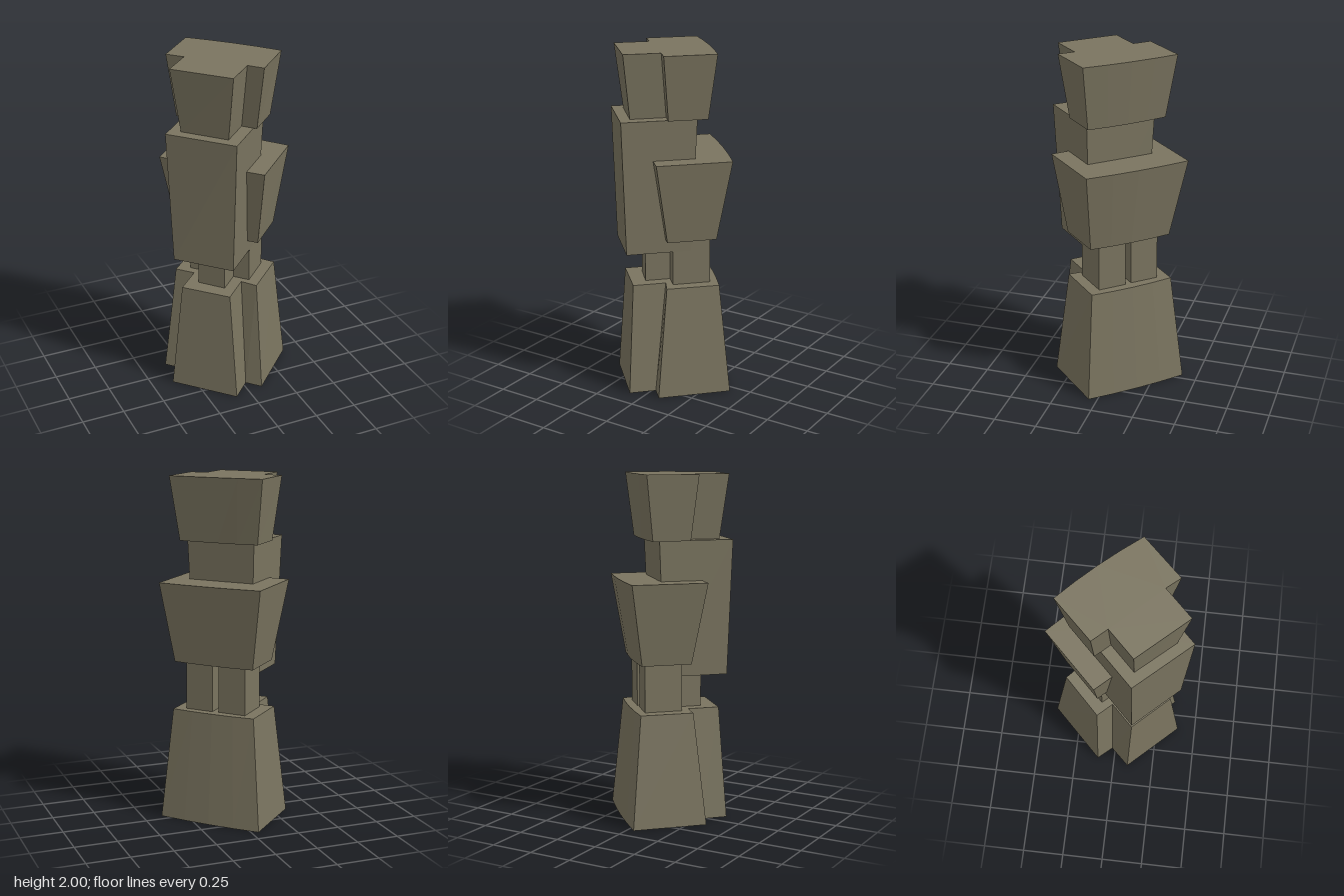
import * as THREE from 'three';

// Tapered block between two matching outlines of [x, z] points,
// listed front -> right -> back -> left.
function taperedBlock(name, material, y0, lower, y1, upper) {
  const positions = [];
  const n = lower.length;
  const low = (i) => [lower[i % n][0], y0, lower[i % n][1]];
  const high = (i) => [upper[i % n][0], y1, upper[i % n][1]];
  for (let i = 0; i < n; i++) {
    positions.push(...low(i), ...low(i + 1), ...high(i + 1));
    positions.push(...low(i), ...high(i + 1), ...high(i));
  }
  const flat = (pts) => pts.map(([x, z]) => new THREE.Vector2(x, -z));
  for (const [a, b, c] of THREE.ShapeUtils.triangulateShape(flat(upper), [])) {
    positions.push(...high(a), ...high(b), ...high(c));
  }
  for (const [a, b, c] of THREE.ShapeUtils.triangulateShape(flat(lower), [])) {
    positions.push(...low(a), ...low(c), ...low(b));
  }
  const geometry = new THREE.BufferGeometry();
  geometry.setAttribute('position', new THREE.Float32BufferAttribute(positions, 3));
  geometry.computeVertexNormals();
  const mesh = new THREE.Mesh(geometry, material);
  mesh.name = name;
  return mesh;
}

// Slightly bowed rear edge from the right corner to the back corner
function bowed(right, back, bulge = 0.013) {
  const dx = back[0] - right[0], dz = back[1] - right[1];
  const length = Math.hypot(dx, dz);
  return [0, 0.25, 0.5, 0.75, 1].map((t) => {
    const b = bulge * 4 * t * (1 - t);
    return [right[0] + dx * t - (dz / length) * b, right[1] + dz * t + (dx / length) * b]
      .map((v, k) => (t === 0 ? right[k] : t === 1 ? back[k] : k === 0
        ? right[0] + dx * t - (dz / length) * b
        : right[1] + dz * t + (dx / length) * b));
  });
}

export function createModel() {
  const model = new THREE.Group();
  model.name = 'stackedStonePillar';
  const stone = new THREE.MeshStandardMaterial({ color: 0x7a745f });
  stone.name = 'olive stone';
  const add = (name, y0, lower, y1, upper) =>
    model.add(taperedBlock(name, stone, y0, lower, y1, upper));

  // Flared base with a stepped front
  add('base',
    0, [[-0.09, 0.39], [0.02, 0.28], [0.09, 0.355], ...bowed([0.39, 0.05], [-0.04, -0.41]),
      [-0.345, -0.105], [-0.27, -0.02], [-0.375, 0.09]],
    0.65, [[-0.105, 0.32], [0.03, 0.185], [0.09, 0.265], ...bowed([0.31, 0.05], [-0.04, -0.325]),
      [-0.26, -0.11], [-0.18, -0.025], [-0.31, 0.105]]);

  // Three supporting posts between the base and the middle blocks
  const posts = {
    frontPost: [0.85, [[-0.09, 0.215], [0.03, 0.095], [-0.08, -0.035], [-0.2, 0.09]]],
    rightRearPost: [0.93, [[0.08, 0.185], [0.235, 0.03], [0.122, -0.095], [-0.033, 0.06]]],
    leftRearPost: [0.93, [[-0.062, 0.035], [0.093, -0.12], [-0.02, -0.245], [-0.175, -0.09]]],
  };
  for (const [name, [top, outline]] of Object.entries(posts)) {
    add(name, 0.65, outline, top, outline);
  }

  // Tall middle block at the front
  add('middleFrontBlock',
    0.85, [[-0.11, 0.375], [0.155, 0.11], [-0.095, -0.155], [-0.36, 0.11]],
    1.63, [[-0.11, 0.415], [0.195, 0.11], [-0.09, -0.2], [-0.395, 0.105]]);

  // Wide flared block behind it
  add('middleRearBlock',
    0.93, [[0.095, 0.265], ...bowed([0.295, 0.06], [-0.04, -0.31]), [-0.245, -0.105]],
    1.4, [[0.085, 0.36], ...bowed([0.39, 0.05], [-0.04, -0.415]), [-0.35, -0.105]]);

  // Flared cap with a stepped front
  add('cap',
    1.63, [[-0.115, 0.32], [0.03, 0.175], [0.09, 0.245], ...bowed([0.25, 0.085], [-0.085, -0.265]),
      [-0.24, -0.11], [-0.165, -0.03], [-0.305, 0.11]],
    2, [[-0.115, 0.38], [0.035, 0.23], [0.1, 0.305], ...bowed([0.31, 0.09], [-0.085, -0.33]),
      [-0.295, -0.115], [-0.22, -0.035], [-0.365, 0.11]]);

  return model;
}
